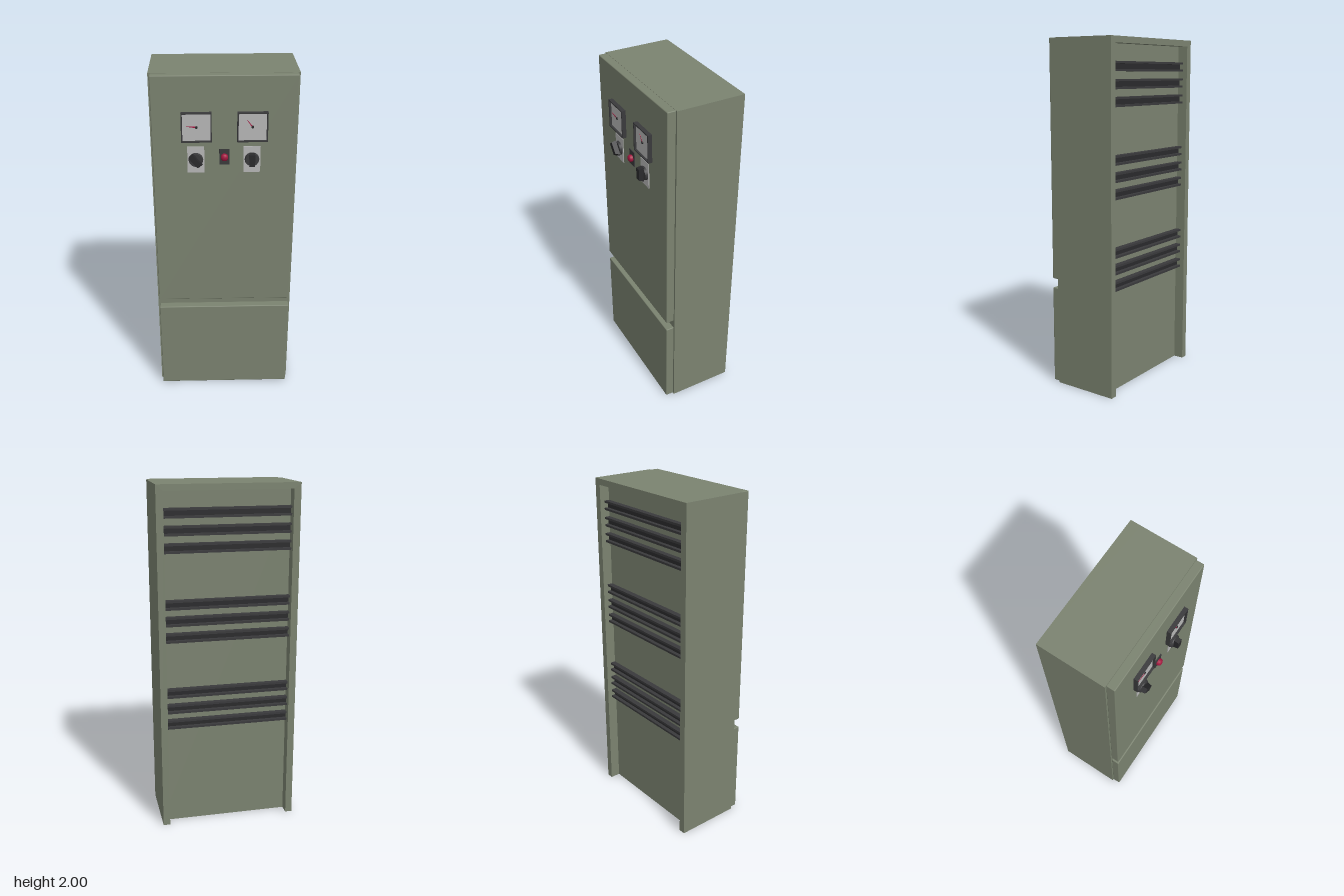
import * as THREE from 'three';
import { RoundedBoxGeometry } from 'three/addons/geometries/RoundedBoxGeometry.js';

const mat = (color) => new THREE.MeshStandardMaterial({ color });

export function createModel() {
  const model = new THREE.Group();
  model.name = 'controlCabinet';
  const green = mat(0x7b8370), dark = mat(0x3a3a3c), black = mat(0x2a2a2c);
  const light = mat(0xb8b8b8), red = mat(0xa3173f);

  const add = (parent, name, geometry, material, x = 0, y = 0, z = 0) => {
    const mesh = new THREE.Mesh(geometry, material);
    mesh.name = name;
    mesh.position.set(x, y, z);
    parent.add(mesh);
    return mesh;
  };
  // Box given by its limits on each axis
  const block = (parent, name, material, x0, x1, y0, y1, z0, z1) =>
    add(parent, name, new THREE.BoxGeometry(x1 - x0, y1 - y0, z1 - z0), material,
      (x0 + x1) / 2, (y0 + y1) / 2, (z0 + z1) / 2);
  const group = (name, x, y, z) => {
    const g = new THREE.Group();
    g.name = name;
    g.position.set(x, y, z);
    model.add(g);
    return g;
  };
  // Cylinder lying along z, starting at z0
  const disc = (parent, name, r0, r1, depth, sides, material, z0) => {
    const geo = new THREE.CylinderGeometry(r1, r0, depth, sides).rotateX(Math.PI / 2);
    return add(parent, name, geo, material, 0, 0, z0 + depth / 2);
  };

  // Housing: one outline with its rear recess, open at the bottom
  block(model, 'housing', green, -0.4, 0.4, 0, 2, -0.18, 0.147);
  const rim = new THREE.Shape([
    [-0.4, 0], [-0.36, 0], [-0.36, 1.965], [0.36, 1.965],
    [0.36, 0], [0.4, 0], [0.4, 2], [-0.4, 2],
  ].map(([x, y]) => new THREE.Vector2(x, y)));
  add(model, 'rearRim', new THREE.ExtrudeGeometry(rim, { depth: 0.06, bevelEnabled: false }),
    green, 0, 0, -0.24);

  // Front panels with softened edges
  const panel = (name, y0, y1) => add(model, name,
    new RoundedBoxGeometry(0.78, y1 - y0, 0.05, 2, 0.005), green, 0, (y0 + y1) / 2, 0.17);
  panel('upperDoor', 0.63, 2);
  panel('lowerPanel', 0.003, 0.575);

  // Three sets of three channel rails across the back
  for (const base of [1.75, 1.245, 0.725]) {
    for (const step of [-1, 0, 1]) {
      const rail = group('rearRail', 0, base + step * 0.095, 0);
      block(rail, 'railWeb', black, -0.36, 0.36, -0.026, 0.026, -0.19, -0.178);
      for (const s of [-1, 1])
        block(rail, 'railFlange', dark, -0.36, 0.36, s * 0.021 - 0.006, s * 0.021 + 0.006, -0.212, -0.178);
    }
  }

  // Meters: open square frame, recessed dial, needle and pivot
  const meter = (name, x, angle, length) => {
    const g = group(name, x, 1.723, 0.195);
    const h = 0.082, i = 0.075;
    const square = (r) => [[-r, -r], [r, -r], [r, r], [-r, r]].map(([a, b]) => new THREE.Vector2(a, b));
    const frame = new THREE.Shape(square(h));
    frame.holes.push(new THREE.Path(square(i).reverse()));
    add(g, 'meterFrame', new THREE.ExtrudeGeometry(frame, { depth: 0.024, bevelEnabled: false }), dark);
    block(g, 'dialFace', light, -i, i, -i, i, 0, 0.012);
    const needle = new THREE.Shape([
      new THREE.Vector2(0, -0.004), new THREE.Vector2(length, 0), new THREE.Vector2(0, 0.004),
    ]);
    const n = add(g, 'needle', new THREE.ExtrudeGeometry(needle, { depth: 0.002, bevelEnabled: false }),
      red, 0, 0, 0.013);
    n.rotation.z = angle;
    disc(g, 'needlePivot', 0.007, 0.007, 0.005, 16, black, 0.012);
  };
  meter('rightMeter', -0.15, Math.PI - 0.11, 0.065);
  meter('leftMeter', 0.15, Math.PI * 0.71, 0.052);

  // Rotary switches: plate, round base and tapered grip
  const rotarySwitch = (name, x, angle) => {
    const g = group(name, x, 1.535, 0.195);
    block(g, 'switchPlate', light, -0.046, 0.046, -0.075, 0.075, 0, 0.004);
    disc(g, 'knobBase', 0.04, 0.036, 0.014, 24, dark, 0.004);
    const grip = new THREE.BoxGeometry(0.03, 0.084, 0.03);
    const p = grip.attributes.position;
    for (let k = 0; k < p.count; k++)
      if (p.getZ(k) > 0) p.setY(k, p.getY(k) * (p.getY(k) > 0 ? 0.9 : 0.7));
    grip.computeVertexNormals();
    add(g, 'knobGrip', grip, black, 0, 0, 0.031).rotation.z = angle;
  };
  rotarySwitch('rightSwitch', -0.155, 0.7);
  rotarySwitch('leftSwitch', 0.15, 0);

  // Signal lamp on a small dark plate
  const lamp = group('signalLamp', 0, 1.55, 0.195);
  block(lamp, 'lampPlate', dark, -0.028, 0.028, -0.045, 0.045, 0, 0.005);
  const profile = [[0.02, 0], [0.02, 0.017], [0.016, 0.023], [0.009, 0.027], [0, 0.028]]
    .map(([r, z]) => new THREE.Vector2(r, z));
  add(lamp, 'lampLens', new THREE.LatheGeometry(profile, 24).rotateX(Math.PI / 2), red);

  return model;
}
